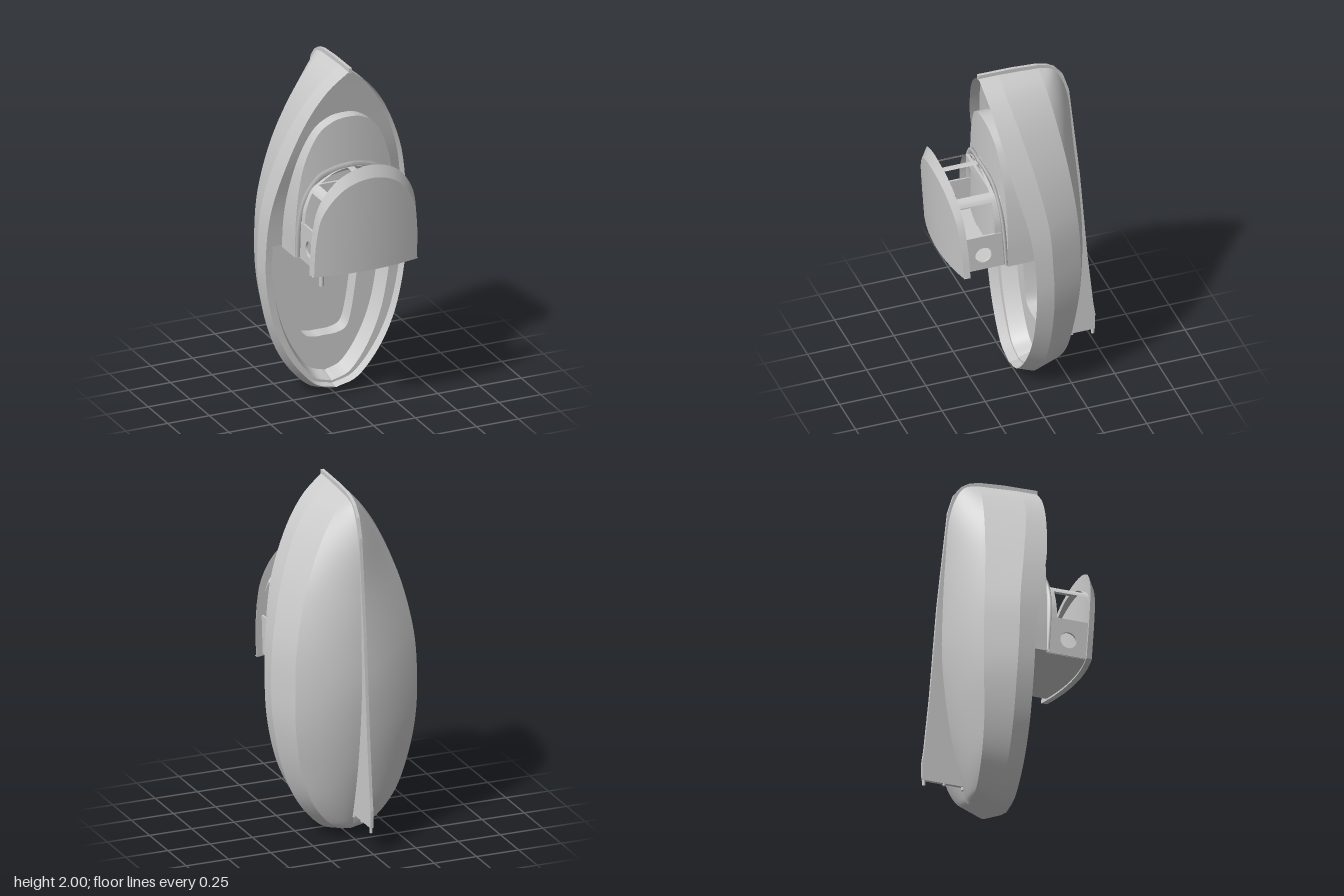
import * as THREE from 'three';

const mat = new THREE.MeshStandardMaterial({ color: 0xcccccc, side: THREE.DoubleSide });
const V = (x, y, z = 0) => new THREE.Vector3(x, y, z);
const lerp = THREE.MathUtils.lerp;
const flip = p => V(-p.x, p.y, p.z);
// Line ending on the centreline, as a function of t
const line = pts => {
  const c = new THREE.CatmullRomCurve3(pts.map(p => V(...p)), false, 'catmullrom', 0.5);
  return t => c.getPoint(t);
};
// Left half of an arch that crosses the centreline smoothly
const arch = pts => {
  const half = pts.map(p => V(...p));
  const c = new THREE.CatmullRomCurve3([...half, ...half.slice(0, -1).reverse().map(flip)], false, 'catmullrom', 0.5);
  return t => c.getPoint(t / 2);
};

// Smooth sheet through rows of points
function loft(rows) {
  const n = rows[0].length, pos = [], idx = [];
  rows.forEach(r => r.forEach(p => pos.push(p.x, p.y, p.z)));
  for (let i = 0; i < rows.length - 1; i++) for (let j = 0; j < n - 1; j++) {
    const a = i * n + j, b = a + n;
    idx.push(a, b, a + 1, b, b + 1, a + 1);
  }
  const g = new THREE.BufferGeometry();
  g.setAttribute('position', new THREE.Float32BufferAttribute(pos, 3));
  g.setIndex(idx);
  g.computeVertexNormals();
  return g;
}
const sample = (n, f, a = 0, b = 1) => Array.from({ length: n + 1 }, (_, i) => f(lerp(a, b, i / n)));

export function createModel() {
  const root = new THREE.Group();
  const add = (name, geo) => {
    const m = new THREE.Mesh(geo, mat);
    m.name = name;
    root.add(m);
  };
  // One sheet on each side of the centreline
  const pair = (name, rows) => {
    add(name + 'Left', loft(rows));
    add(name + 'Right', loft(rows.map(r => r.map(flip).reverse())));
  };
  const ribbon = (n, f, g, a = 0, b = 1) => sample(n, t => [f(t), g(t)], a, b);
  // Sheet spanning both sides of an edge line
  const across = (n, f, z, a = 0, b = 1) => sample(n, t => {
    const p = f(t);
    return sample(12, u => V(p.x * u, p.y, z ? z(p.x * u, p.y) : p.z), -1, 1);
  }, a, b);
  // Plate drawn in (z, y), thickened along x
  const plate = (shape, depth, x) => new THREE.ExtrudeGeometry(shape, { depth, bevelEnabled: false, curveSegments: 24 })
    .rotateY(-Math.PI / 2).translate(x + depth / 2, 0, 0);
  const poly = pts => new THREE.Shape(pts.map(p => new THREE.Vector2(...p)));

  // Hull lines, bow to stern
  const sheer = line([[0, 1.985, .2], [.13, 1.872, .182], [.243, 1.7, .155], [.342, 1.45, .115], [.402, 1.17, .05],
    [.42, .92, .02], [.41, .68, .01], [.355, .43, .01], [.26, .235, .015], [.13, .088, .02], [0, .045, .02]]);
  const knuckle = line([[0, 1.985, .085], [.13, 1.87, .07], [.243, 1.7, .035], [.342, 1.45, -.018], [.407, 1.17, -.065],
    [.425, .92, -.08], [.415, .68, -.09], [.362, .42, -.09], [.272, .21, -.085], [.135, .053, -.075], [0, .005, -.07]]);
  const chine = line([[0, 1.975, -.145], [.1, 1.862, -.165], [.195, 1.69, -.19], [.285, 1.45, -.222], [.345, 1.17, -.25],
    [.36, .92, -.262], [.353, .68, -.258], [.315, .45, -.24], [.243, .245, -.225], [.125, .098, -.208], [0, .055, -.2]]);
  const keel = line([[0, 1.975, -.15], [0, 1.93, -.25], [0, 1.75, -.32], [0, 1.45, -.345], [0, 1.17, -.358],
    [0, .92, -.362], [0, .68, -.343], [0, .45, -.31], [0, .25, -.265], [0, .11, -.225], [0, .055, -.2]]);

  pair('bulwark', ribbon(80, sheer, knuckle));
  pair('topside', ribbon(80, knuckle, chine));
  pair('bottom', sample(80, t => {
    const a = chine(t), b = keel(t), mid = a.clone().lerp(b, .5);
    mid.z -= .13 * a.x;
    return new THREE.QuadraticBezierCurve3(a, mid, b).getPoints(10);
  }));

  // Stem bar running into the deep keel fin
  add('stemAndKeel', plate(poly([[.2, 2], [0, 1.997], [-.14, 1.987], [-.2, 1.972], [-.245, 1.945], [-.29, 1.89], [-.325, 1.78],
    [-.35, 1.55], [-.388, 1.2], [-.432, .65], [-.465, .33], [-.477, .25], [-.475, .15], [-.22, .15], [-.25, .3],
    [-.3, .6], [-.32, 1], [-.3, 1.6], [-.24, 1.85], [-.15, 1.95], [.2, 1.97]]), .018, 0));
  for (const [z, y] of [[-.235, .2], [-.345, .21], [-.465, .19]]) {
    add('rudderPin', new THREE.CylinderGeometry(.009, .009, .14, 12).translate(0, y, z));
  }

  // Deck sunk inside the bulwark, with a cockpit towards the stern
  const y0 = .92;
  const inset = (kx, ky, z) => t => {
    const p = sheer(t);
    return V(p.x * kx, y0 - (y0 - p.y) * ky, z ?? p.z - .055);
  };
  const deckEdge = inset(.985, .995), rim = inset(.845, .98), floorEdge = inset(.765, .95, -.13);
  const well = arch([[.21, y0, -.13], [.205, .75, -.13], [.185, .58, -.13], [.16, .42, -.13],
    [.13, .325, -.13], [.07, .297, -.13], [0, .295, -.13]]);
  const wellEdge = t => well(2 * t - 1);
  const wellFoot = t => wellEdge(t).setZ(-.22);
  pair('innerBulwark', ribbon(80, sheer, deckEdge));
  add('foredeck', loft(across(40, deckEdge, null, 0, .5)));
  pair('sideDeck', ribbon(40, deckEdge, rim, .5, 1));
  pair('coaming', ribbon(40, rim, floorEdge, .5, 1));
  pair('cockpitBench', ribbon(40, floorEdge, wellEdge, .5, 1));
  pair('wellSide', ribbon(40, wellEdge, wellFoot, .5, 1));
  add('wellFloor', loft(across(40, wellFoot, null, .5, 1)));
  add('wellStep', new THREE.BoxGeometry(.37, .31, .02).translate(0, .755, -.215));
  add('steeringPole', new THREE.CylinderGeometry(.013, .013, .34, 16).translate(0, .74, -.17));

  // Cabin trunk with a cambered top
  const trunkZ = x => .172 - .4 * x * x;
  const trunk = arch([[.3, .91], [.298, 1.1], [.28, 1.3], [.245, 1.47], [.175, 1.62], [.09, 1.687], [0, 1.703]]);
  add('trunkTop', loft(across(40, trunk, trunkZ)));
  pair('trunkSide', sample(40, t => {
    const p = trunk(t);
    return [V(p.x, p.y, -.05), V(p.x, p.y, trunkZ(p.x))];
  }));

  // Wheelhouse roof with a sloping visor edge
  const roofZ = (x, y) => .435 + .07 * (y - .9) - .42 * x * x;
  const lowZ = (x, y) => roofZ(x, y) - .032;
  const inner = arch([[.308, .897], [.302, 1.1], [.268, 1.27], [.155, 1.41], [0, 1.458]]);
  const outer = arch([[.32, .897], [.315, 1.1], [.282, 1.31], [.17, 1.467], [0, 1.525]]);
  const at = (p, zf) => V(p.x, p.y, zf(p.x, p.y));
  add('roofTop', loft(across(40, inner, roofZ)));
  add('roofUnderside', loft(across(40, outer, lowZ)));
  pair('roofVisor', ribbon(40, t => at(inner(t), roofZ), t => at(outer(t), lowZ)));
  add('roofAftEdge', loft([roofZ, lowZ].map(f => sample(16, u => V(u * .315, .897, f(u * .315, .897)), -1, 1))));

  // Curved wheelhouse front: sill, header and window pillars
  const wall = arch([[.275, 1.12], [.266, 1.21], [.23, 1.305], [.19, 1.346], [.1, 1.4], [0, 1.42]]);
  const band = (name, z0, z1, a, b) => pair(name, sample(24, t => {
    const p = wall(t);
    return [V(p.x, p.y, z0), V(p.x, p.y, z1 ?? lowZ(p.x, p.y))];
  }, a, b));
  band('windowSill', .09, .205, 0, 1);
  band('windowHeader', .4, null, 0, 1);
  band('cornerPillar', .19, .41, .4, .6);
  band('centreMullion', .19, .41, .96, 1);

  // Side panels with portholes
  for (const s of [-1, 1]) {
    const panel = poly([[.08, .91], [.4, .91], [.41, 1.127], [.08, 1.127]]);
    const hole = new THREE.Path();
    hole.absarc(.27, 1.003, .047, 0, Math.PI * 2, true);
    panel.holes.push(hole);
    add('portholePanel', plate(panel, .012, s * .272));
  }

  // Flange around the wheelhouse base
  const flange = arch([[.3, .915], [.298, 1.1], [.27, 1.26], [.19, 1.385], [.1, 1.43], [0, 1.447]]);
  const flangeAt = (t, k, h) => {
    const p = flange(t);
    return V(p.x * k, y0 + (p.y - y0) * k, .14 + .055 * t + h);
  };
  pair('baseFlange', sample(40, t => [flangeAt(t, .92, -.03), flangeAt(t, .92, .01),
    flangeAt(t, 1, .01), flangeAt(t, 1, -.003), flangeAt(t, .95, -.012)]));

  // Aft bulkhead, closing the wheelhouse and cabin
  const half = [[.21, -.22], [.22, -.13], [.325, -.13], [.355, -.035], [.3, -.035], [.3, .135], [.272, .135], [.272, .385], [.14, .41]];
  const bulk = poly([...half, [0, .415], ...half.map(([x, z]) => [-x, z]).reverse()]);
  add('aftBulkhead', new THREE.ExtrudeGeometry(bulk, { depth: .014, bevelEnabled: false })
    .rotateX(Math.PI / 2).translate(0, .922, 0));
  add('cabinDoor', new THREE.BoxGeometry(.18, .012, .3).translate(0, .925, .16));
  add('dashboard', new THREE.BoxGeometry(.38, .05, .015).translate(0, 1.32, .19));

  return root;
}
